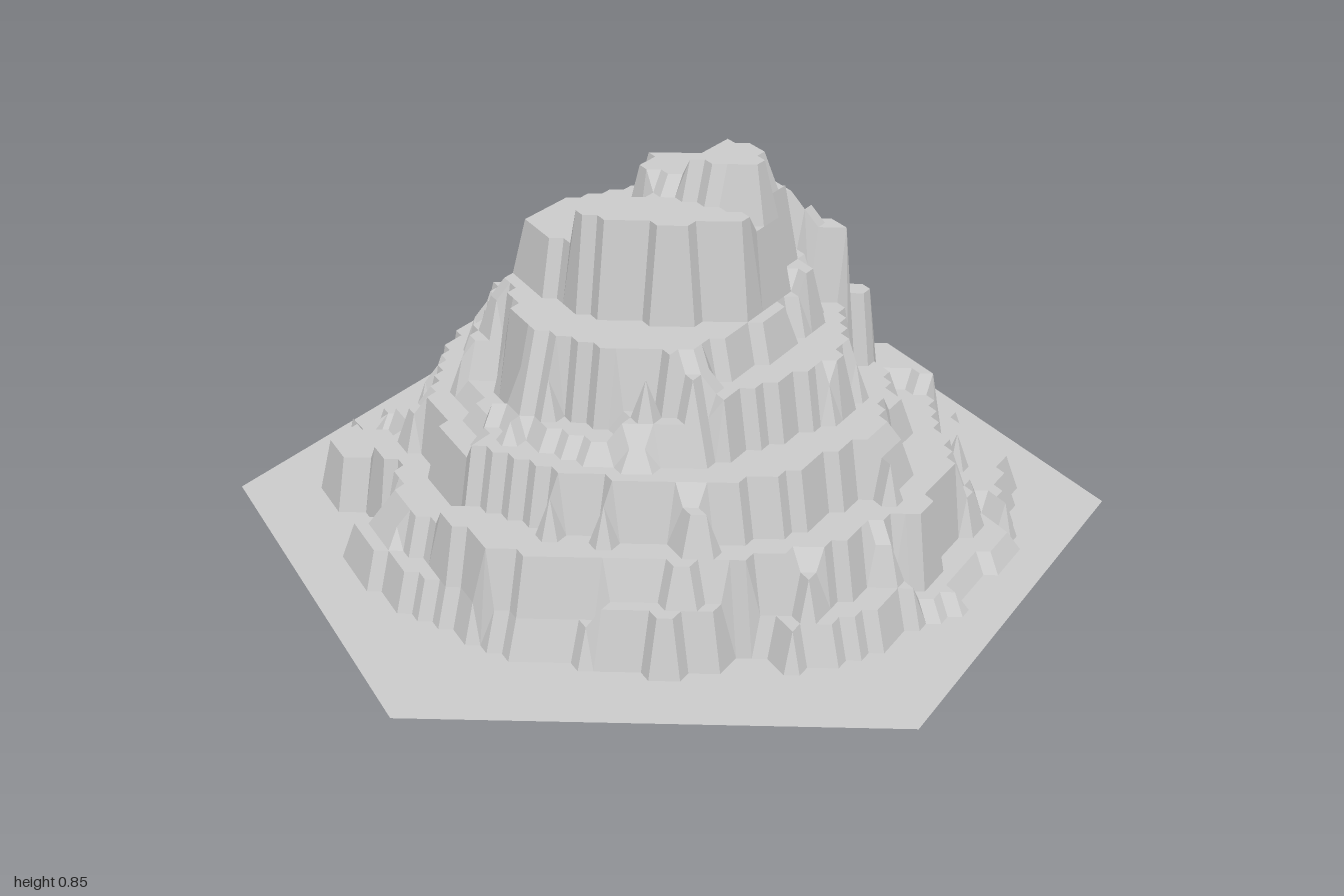
import * as THREE from 'three';

const N = 32;            // lattice cells along each hexagon side
const STEP = 0.0425;     // height of one rock stratum
const SECTOR = Math.PI / 6;

// Terrace edges (radius in hundredths) every 30 degrees, from +x round towards +z
const RADII = [
  [22, 25, 31, 42, 55, 68, 76], [12, 26, 31, 42, 55, 66, 75],
  [8, 26, 41, 47, 56, 63, 70], [7, 25, 40, 48, 56, 68, 70],
  [9, 24, 38, 47, 56, 66, 75], [11, 29, 35, 43, 52, 62, 77],
  [10, 27, 33, 47, 58, 67, 74], [12, 26, 35, 45, 57, 67, 79],
  [13, 26, 36, 46, 57, 65, 76], [13, 17, 26, 37, 44, 55, 69],
  [14, 18, 28, 37, 46, 60, 73], [19, 25, 32, 41, 51, 63, 78],
];
// Terrace heights, in strata, for the same directions
const LEVELS = [
  [20, 17, 13, 11, 8, 5, 1], [20, 18, 13, 11, 8, 5, 2],
  [19, 18, 13, 10, 8, 5, 3], [19, 18, 13, 9, 8, 5, 2],
  [19, 16, 13, 8, 7, 4, 2], [19, 16, 13, 10, 7, 4, 3],
  [19, 16, 13, 10, 7, 3, 2], [19, 16, 13, 10, 7, 4, 3],
  [19, 17, 15, 10, 6, 4, 2], [19, 18, 17, 15, 11, 6, 2],
  [20, 18, 17, 15, 11, 6, 2], [20, 18, 14, 11, 7, 5, 2],
];
// Bays cut into the lowest terrace: x, z, radius
const BAYS = [[-0.5, 0.5, 0.09], [-0.45, -0.57, 0.09], [0.51, 0.51, 0.06]];

// Smooth value noise in -1..1
function hash(i, j, seed) {
  const s = Math.sin(i * 127.1 + j * 311.7 + seed * 74.7) * 43758.5453;
  return (s - Math.floor(s)) * 2 - 1;
}
function noise(x, z, seed) {
  const i = Math.floor(x), j = Math.floor(z);
  const u = x - i, v = z - j;
  const { lerp } = THREE.MathUtils;
  return lerp(
    lerp(hash(i, j, seed), hash(i + 1, j, seed), u),
    lerp(hash(i, j + 1, seed), hash(i + 1, j + 1, seed), u), v);
}

// Stratum number of the terraced mountain at a point
function stratum(px, pz) {
  if (Math.hypot(px, pz) > 0.85) return 0;
  // low spur at the back
  const spur = pz < -0.6 && pz > -0.82 && px < 0.18 && px > -0.1 - (pz + 0.69) * 1.7;
  const bay = BAYS.some(([x, z, radius]) => Math.hypot(px - x, pz - z) < radius);
  // ragged, gullied edges
  const x = px + 0.028 * noise(px * 11, pz * 11, 1);
  const z = pz + 0.028 * noise(px * 11, pz * 11, 2);
  const r = Math.hypot(x, z);
  const turn = (Math.atan2(z, x) / SECTOR + 12) % 12;
  const k = Math.floor(turn) % 12, next = (k + 1) % 12, t = turn - Math.floor(turn);
  const levels = LEVELS[t + 0.35 * noise(x * 9, z * 9, 3) < 0.5 ? k : next];
  for (let ring = 0; ring < (bay ? 6 : 7); ring++) {
    const edge = THREE.MathUtils.lerp(RADII[k][ring], RADII[next][ring], t) / 100;
    if (r <= edge) return ring === 0 && px < 0.06 ? 19 : levels[ring];
    // small broken ledges at the foot of a cliff
    const lower = levels[ring + 1] ?? 0;
    if (ring > 1 && ring < 6 && r < edge + 0.04 && noise(x * 14, z * 14, 4 + ring) > 0.38) {
      return Math.round((levels[ring] + lower) / 2);
    }
  }
  return spur ? 2 : 0;
}

function surface(name, positions) {
  const geometry = new THREE.BufferGeometry();
  geometry.setAttribute('position', new THREE.Float32BufferAttribute(positions, 3));
  geometry.computeVertexNormals();
  const material = new THREE.MeshStandardMaterial({
    color: 0xcccccc, flatShading: true, side: THREE.DoubleSide,
  });
  const mesh = new THREE.Mesh(geometry, material);
  mesh.name = name;
  return mesh;
}

export function createModel() {
  const group = new THREE.Group();
  group.name = 'terracedMountain';

  // Triangular lattice: one axis runs at 30 degrees to x, the other along z
  const inside = (a, b) => Math.max(Math.abs(a), Math.abs(b), Math.abs(a + b)) <= N;
  const point = (a, b) => {
    const x = a * Math.sqrt(0.75) / N, z = (a / 2 + b) / N;
    return [x, stratum(x, z) * STEP, z];
  };

  // Sort the triangles into flat ground and raised rock
  const ground = [], rock = [];
  const addTriangle = (...corners) => {
    if (!corners.every(([a, b]) => inside(a, b))) return;
    const points = corners.map(([a, b]) => point(a, b));
    const target = points.some((p) => p[1] > 0) ? rock : ground;
    points.forEach((p) => target.push(...p));
  };
  for (let a = -N; a < N; a++) {
    for (let b = -N; b < N; b++) {
      addTriangle([a, b], [a, b + 1], [a + 1, b]);
      addTriangle([a + 1, b], [a, b + 1], [a + 1, b + 1]);
    }
  }

  group.add(surface('hexagonalGround', ground), surface('mountainTerraces', rock));
  return group;
}
